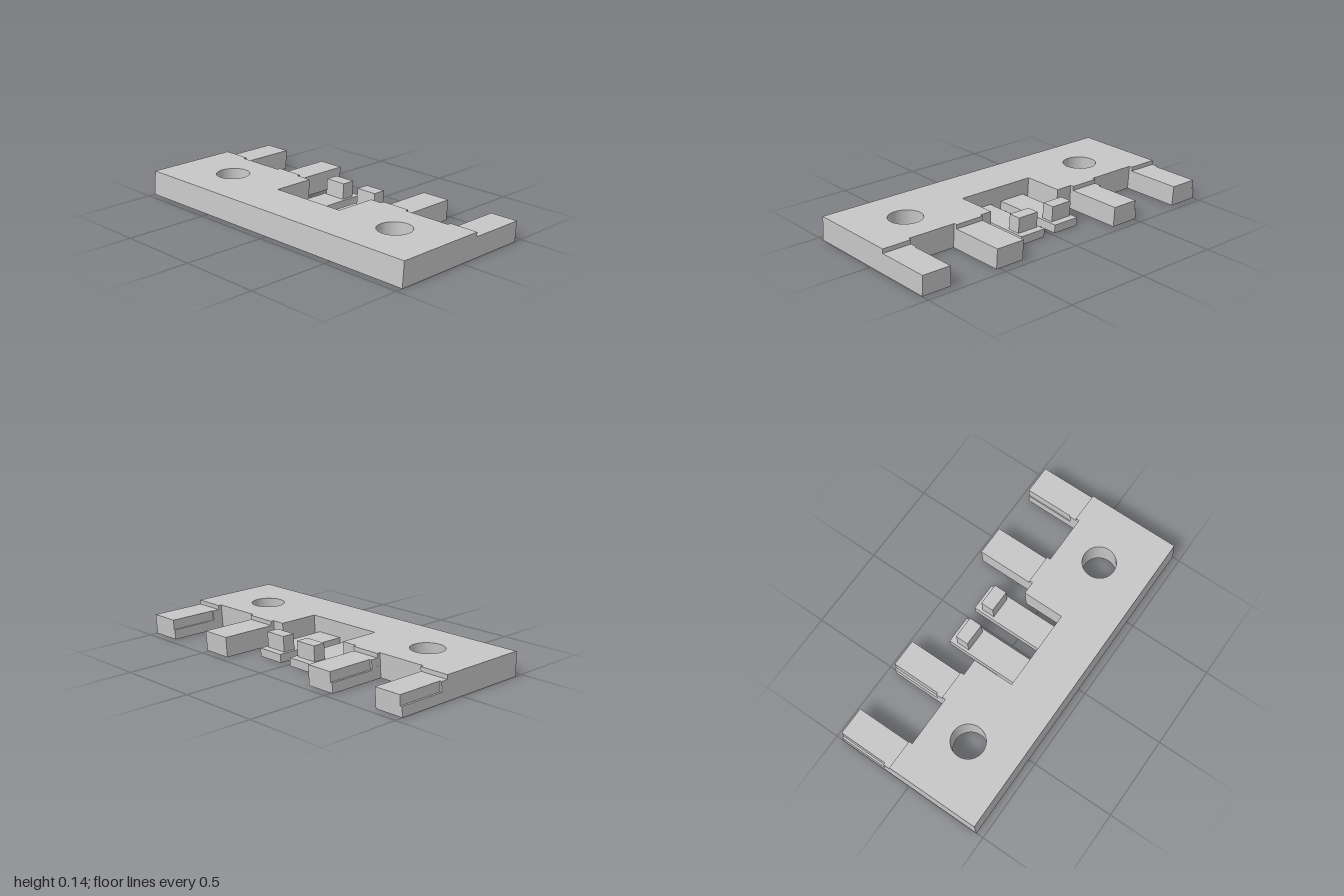
import * as THREE from 'three';

const LEAN = 0.07; // every upright face leans back by this much per unit of height
const material = new THREE.MeshStandardMaterial({ color: 0xc7c7c7 });
material.name = 'grey';

// Extrude a clockwise plan outline of [x, z] points from y0 to y1, leaning towards -z
function slab(name, points, y0, y1, holes = []) {
  const shape = new THREE.Shape(points.map(([x, z]) => new THREE.Vector2(x, -z)));
  for (const [x, z, r] of holes) {
    shape.holes.push(new THREE.Path().absarc(x, -z, r, 0, Math.PI * 2, false));
  }
  const geometry = new THREE.ExtrudeGeometry(shape, { depth: y1 - y0, bevelEnabled: false, curveSegments: 48 });
  geometry.rotateX(-Math.PI / 2).translate(0, y0, 0);
  const p = geometry.attributes.position;
  for (let i = 0; i < p.count; i++) p.setZ(i, p.getZ(i) - LEAN * p.getY(i));
  geometry.computeVertexNormals();
  const mesh = new THREE.Mesh(geometry, material);
  mesh.name = name;
  return mesh;
}

const rect = (x0, x1, z0, z1) => [[x0, z0], [x1, z0], [x1, z1], [x0, z1]];

export function createModel() {
  const model = new THREE.Group();
  model.name = 'slottedPlate';
  const H = 0.145, armH = 0.119, tongueH = 0.05, ledgeH = 0.06;
  const edge = -0.087, step = -0.108, back = -0.449, notch = 0.165;

  // Arms: x range and width of the ledge cut along the -x side
  const arms = [[-1, -0.82, 0.012], [-0.512, -0.335, 0.012], [0.34, 0.52, 0], [0.82, 1, 0.006]];

  // Main plate with arm roots, a central notch and two screw holes
  const outline = [[1, 0.457], [-1, 0.457]];
  arms.forEach(([x0, x1], i) => {
    if (i > 0) outline.push([x0, edge]);
    outline.push([x0, step], [x1, step]);
    if (i < 3) outline.push([x1, edge]);
    if (i === 1) outline.push([-0.232, edge], [-0.232, notch], [0.263, notch], [0.263, edge]);
  });
  model.add(slab('plate', outline, 0, H, [[-0.635, 0.157, 0.099], [0.664, 0.157, 0.099]]));

  // Four long arms, stepped along one side where there is a ledge
  for (const [x0, x1, ledge] of arms) {
    const arm = new THREE.Group();
    arm.name = 'arm';
    if (ledge) {
      const ledgeEnd = -0.153;
      arm.add(slab('armBase', rect(x0, x1, back, step), 0, ledgeH));
      arm.add(slab('armTop', [[x0 + ledge, back], [x1, back], [x1, step], [x0, step],
        [x0, ledgeEnd], [x0 + ledge, ledgeEnd]], ledgeH, armH));
    } else {
      arm.add(slab('armBar', rect(x0, x1, back, step), 0, armH));
    }
    model.add(arm);
  }

  // Two thin spring tongues, each with a raised peg
  for (const [x0, x1] of [[-0.193, -0.024], [0.054, 0.222]]) {
    model.add(slab('tongue', rect(x0, x1, -0.3, notch), 0, tongueH));
    model.add(slab('peg', rect(x0 + 0.017, x1 - 0.017, -0.255, -0.177), tongueH, 0.143));
  }
  return model;
}
